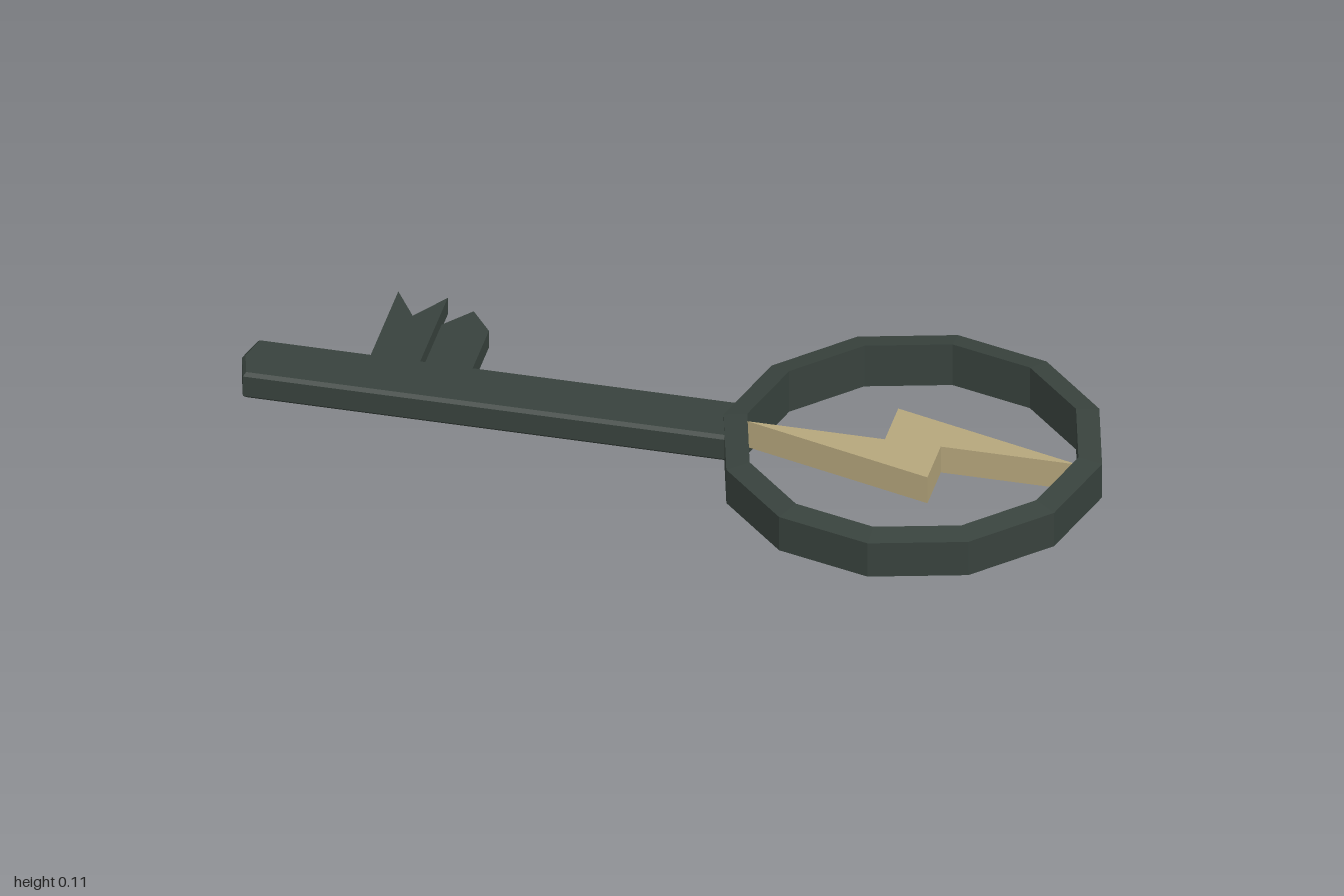
import * as THREE from 'three';

const iron = new THREE.MeshStandardMaterial({ color: 0x38423d, flatShading: true });
const brass = new THREE.MeshStandardMaterial({ color: 0xb5a67c, flatShading: true });

// Extrudes an [x, z] outline upwards from y0 to y1, with chamfered edges
function plate(name, outline, y0, y1, material, chamfer = 0) {
  const shape = new THREE.Shape(outline.map(([x, z]) => new THREE.Vector2(x, -z)));
  const geometry = new THREE.ExtrudeGeometry(shape, {
    depth: y1 - y0 - 2 * chamfer,
    bevelEnabled: chamfer > 0,
    bevelThickness: chamfer,
    bevelSize: chamfer,
    bevelOffset: -chamfer,
    bevelSegments: 1,
  });
  geometry.rotateX(-Math.PI / 2);
  geometry.translate(0, y0 + chamfer, 0);
  const mesh = new THREE.Mesh(geometry, material);
  mesh.name = name;
  return mesh;
}

export function createModel() {
  const key = new THREE.Group();
  key.name = 'key';

  // Twelve-sided bow ring, its faces sloping down towards the outside
  const profile = [[0.44, 0.01], [0.44, 0.1], [0.385, 0.11], [0.385, 0], [0.44, 0.01]]
    .map(([r, y]) => new THREE.Vector2(r, y));
  const ring = new THREE.Mesh(new THREE.LatheGeometry(profile, 12), iron);
  ring.name = 'bowRing';
  ring.position.x = 0.56;
  key.add(ring);

  // Shaft with a blunt pointed end
  key.add(plate('shaft', [
    [-1, 0], [-0.98, 0.075], [0.155, 0.075], [0.155, -0.075], [-0.98, -0.075],
  ], 0.022, 0.09, iron, 0.008));

  // Two teeth on the back edge: one notched, one pointed
  key.add(plate('notchedTooth', [
    [-0.72, -0.06], [-0.605, -0.06], [-0.605, -0.35], [-0.665, -0.26], [-0.72, -0.35],
  ], 0.035, 0.08, iron));
  key.add(plate('pointedTooth', [
    [-0.593, -0.06], [-0.483, -0.06], [-0.483, -0.24], [-0.535, -0.31], [-0.593, -0.24],
  ], 0.035, 0.08, iron));

  // Lightning bolt spanning the ring
  key.add(plate('bolt', [
    [0.175, 0], [0.625, 0.13], [0.625, 0], [0.945, 0], [0.495, -0.13], [0.495, 0],
  ], 0.02, 0.09, brass));

  return key;
}
